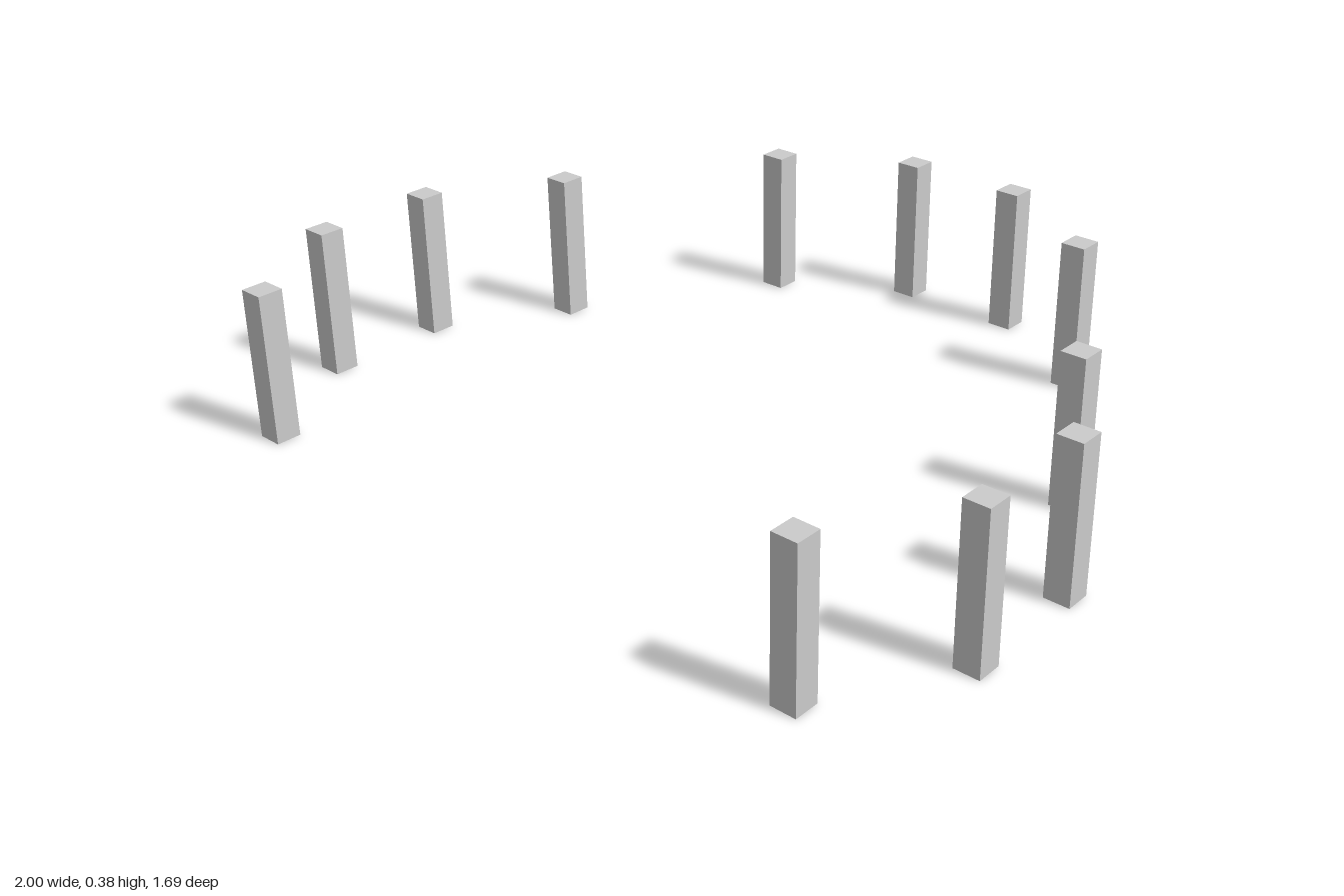
import * as THREE from 'three';

// Ring of square posts, open at the front, laid out on a regular grid
const UNIT = 1 / 16;
const HEIGHT = 6 * UNIT;

// [x, z] of the left-hand posts in grid units, from back to front
const LAYOUT = [
  [2.5, -13],
  [7.5, -10],
  [12.5, -2],
  [15.5, 3],
  [15.5, 8],
  [12.5, 13],
];

export function createModel() {
  const group = new THREE.Group();
  group.name = 'postRing';
  const material = new THREE.MeshStandardMaterial({ color: 0xcccccc });
  const geometry = new THREE.BoxGeometry(UNIT, HEIGHT, UNIT);

  // Each post and its mirror image
  LAYOUT.forEach(([x, z], i) => {
    for (const side of [1, -1]) {
      const post = new THREE.Mesh(geometry, material);
      post.name = `${side > 0 ? 'left' : 'right'}Post${i + 1}`;
      post.position.set(side * x * UNIT, HEIGHT / 2, z * UNIT);
      group.add(post);
    }
  });

  return group;
}
